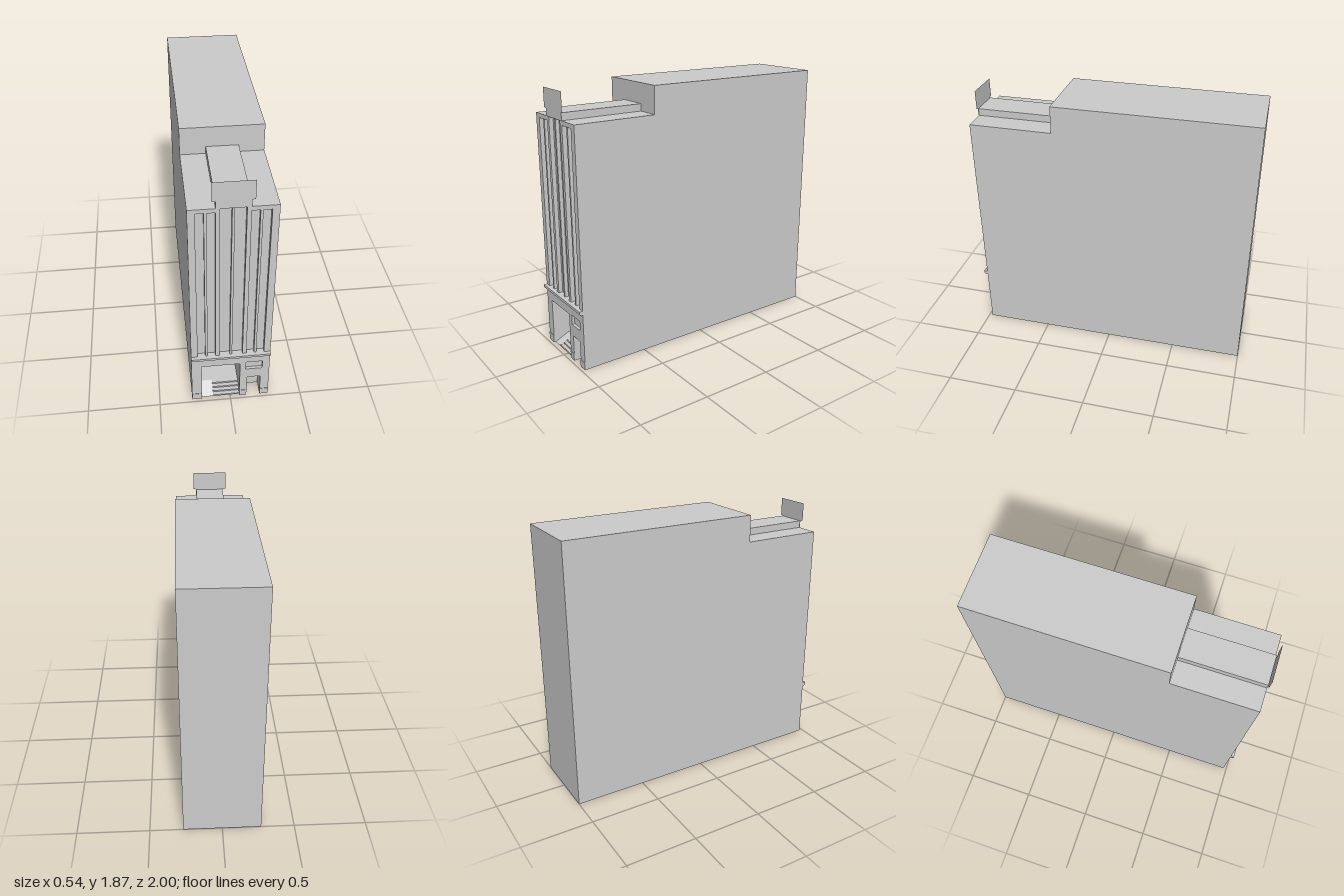
import * as THREE from 'three';

const W = 0.27, FRONT = 0.975, BACK = -1, STEP = 0.39, LOW = 1.68, HIGH = 1.87;
const material = new THREE.MeshStandardMaterial({ color: 0xcccccc, side: THREE.DoubleSide, flatShading: true });

function add(parent, name, geometry) {
  const mesh = new THREE.Mesh(geometry, material);
  mesh.name = name;
  parent.add(mesh);
  return mesh;
}

// Flat four-cornered panels, corners counter-clockwise from the visible side
function panels(quads) {
  const pos = [];
  for (const [a, b, c, d] of quads) pos.push(...a, ...b, ...c, ...a, ...c, ...d);
  const g = new THREE.BufferGeometry();
  g.setAttribute('position', new THREE.Float32BufferAttribute(pos, 3));
  g.computeVertexNormals();
  return g;
}

function outline(points) {
  return new THREE.Shape(points.map(([x, y]) => new THREE.Vector2(x, y)));
}

function box(parent, name, x0, x1, y0, y1, z0, z1) {
  add(parent, name, new THREE.BoxGeometry(x1 - x0, y1 - y0, z1 - z0))
    .position.set((x0 + x1) / 2, (y0 + y1) / 2, (z0 + z1) / 2);
}

// Lining of an opening: side walls, ceiling and back, with an optional sill
function recess(parent, name, [x0, x1, y0, y1], depth, sill = true) {
  const f = FRONT, b = FRONT - depth;
  const quads = [
    [[x0, y0, b], [x1, y0, b], [x1, y1, b], [x0, y1, b]],
    [[x0, y0, f], [x0, y0, b], [x0, y1, b], [x0, y1, f]],
    [[x1, y0, b], [x1, y0, f], [x1, y1, f], [x1, y1, b]],
    [[x0, y1, b], [x1, y1, b], [x1, y1, f], [x0, y1, f]],
  ];
  if (sill) quads.push([[x0, y0, f], [x1, y0, f], [x1, y0, b], [x0, y0, b]]);
  add(parent, name, panels(quads));
}

export function createModel() {
  const model = new THREE.Group();
  model.name = 'narrowBuilding';

  // Outer shell, open underneath
  const profile = [[FRONT, 0], [FRONT, LOW], [STEP, LOW], [STEP, HIGH], [BACK, HIGH], [BACK, 0]];
  for (const s of [-1, 1]) {
    const side = new THREE.ShapeGeometry(outline(profile.map(([z, y]) => [-s * z, y])));
    side.rotateY(s * Math.PI / 2);
    side.translate(s * W, 0, 0);
    add(model, s > 0 ? 'leftWall' : 'rightWall', side);
  }
  const shell = [];
  for (let i = 1; i < 5; i++) {
    const [z0, y0] = profile[i], [z1, y1] = profile[i + 1];
    shell.push([[-W, y0, z0], [W, y0, z0], [W, y1, z1], [-W, y1, z1]]);
  }
  add(model, 'roofsAndBackWall', panels(shell));

  // Facade with doorways cut from its foot, plus window openings
  const entry = [-0.2, 0.065, 0, 0.335], door = [0.115, 0.21, 0, 0.19];
  const sideWindow = [0.105, 0.22, 0.275, 0.345];
  const bays = [[-0.225, -0.105, 0.44, 1.65], [-0.078, 0.078, 0.44, 1.677], [0.105, 0.225, 0.44, 1.65]];
  const foot = [entry, door].flatMap(([a, b, y0, y1]) => [[a, y0], [a, y1], [b, y1], [b, y0]]);
  const wall = outline([[-W, 0], ...foot, [W, 0], [W, LOW], [-W, LOW]]);
  for (const [a, b, c, d] of [sideWindow, ...bays])
    wall.holes.push(outline([[a, c], [a, d], [b, d], [b, c]]));
  add(model, 'facade', new THREE.ShapeGeometry(wall).translate(0, 0, FRONT));

  // Tall window bays, each split by a mullion
  for (const bay of bays) {
    recess(model, 'windowBay', bay, 0.03);
    const mid = (bay[0] + bay[1]) / 2;
    box(model, 'mullion', mid - 0.008, mid + 0.008, bay[2], bay[3], FRONT - 0.03, FRONT - 0.004);
  }
  recess(model, 'smallWindow', sideWindow, 0.02);
  recess(model, 'sideDoorway', door, 0.1, false);
  recess(model, 'entranceHall', entry, 0.33, false);

  // Entrance floor, sloped ramp and four steps
  const floorY = 0.05, top = 0.86, end = 0.965, split = -0.12, back = FRONT - 0.33;
  const [left, right] = entry;
  add(model, 'entranceFloor', panels([
    [[left, floorY, top], [right, floorY, top], [right, floorY, back], [left, floorY, back]]]));
  add(model, 'entranceRamp', panels([
    [[left, 0, end], [split, 0, end], [split, floorY, top], [left, floorY, top]],
    [[split, 0, end], [split, 0, top], [split, floorY, top], [split, floorY, top]]]));
  const steps = [], n = 4, rise = floorY / n, run = (end - top) / n;
  for (let i = 0; i < n; i++) {
    const y = i * rise, z = end - i * run;
    steps.push([[split, y, z], [right, y, z], [right, y + rise, z], [split, y + rise, z]]);
    steps.push([[split, y + rise, z], [right, y + rise, z], [right, y + rise, z - run], [split, y + rise, z - run]]);
  }
  add(model, 'entranceSteps', panels(steps));

  // Low plinths on the piers
  for (const [a, b] of [[-W, left], [right, door[0]], [door[1], W]])
    box(model, 'plinth', a, b, 0, 0.055, FRONT - 0.002, FRONT + 0.003);

  // Moulded cornice above the ground floor
  const cornice = new THREE.ExtrudeGeometry(
    outline([[-FRONT, 0.41], [-0.988, 0.41], [-1, 0.422], [-1, 0.44], [-FRONT, 0.44]]),
    { depth: 2 * W, bevelEnabled: false });
  cornice.rotateY(Math.PI / 2).translate(-W, 0, 0);
  add(model, 'cornice', cornice);

  // Roof housing and thin signboard at its front
  box(model, 'roofHousing', -0.105, 0.105, LOW, 1.73, STEP, FRONT);
  const board = outline([[-0.105, LOW], [0.105, LOW], [0.105, 1.73], [0.125, 1.735],
    [0.125, 1.865], [-0.13, 1.865], [-0.13, 1.735], [-0.105, 1.73]]);
  add(model, 'signboard', new THREE.ShapeGeometry(board).translate(0, 0, FRONT + 0.004));

  return model;
}
